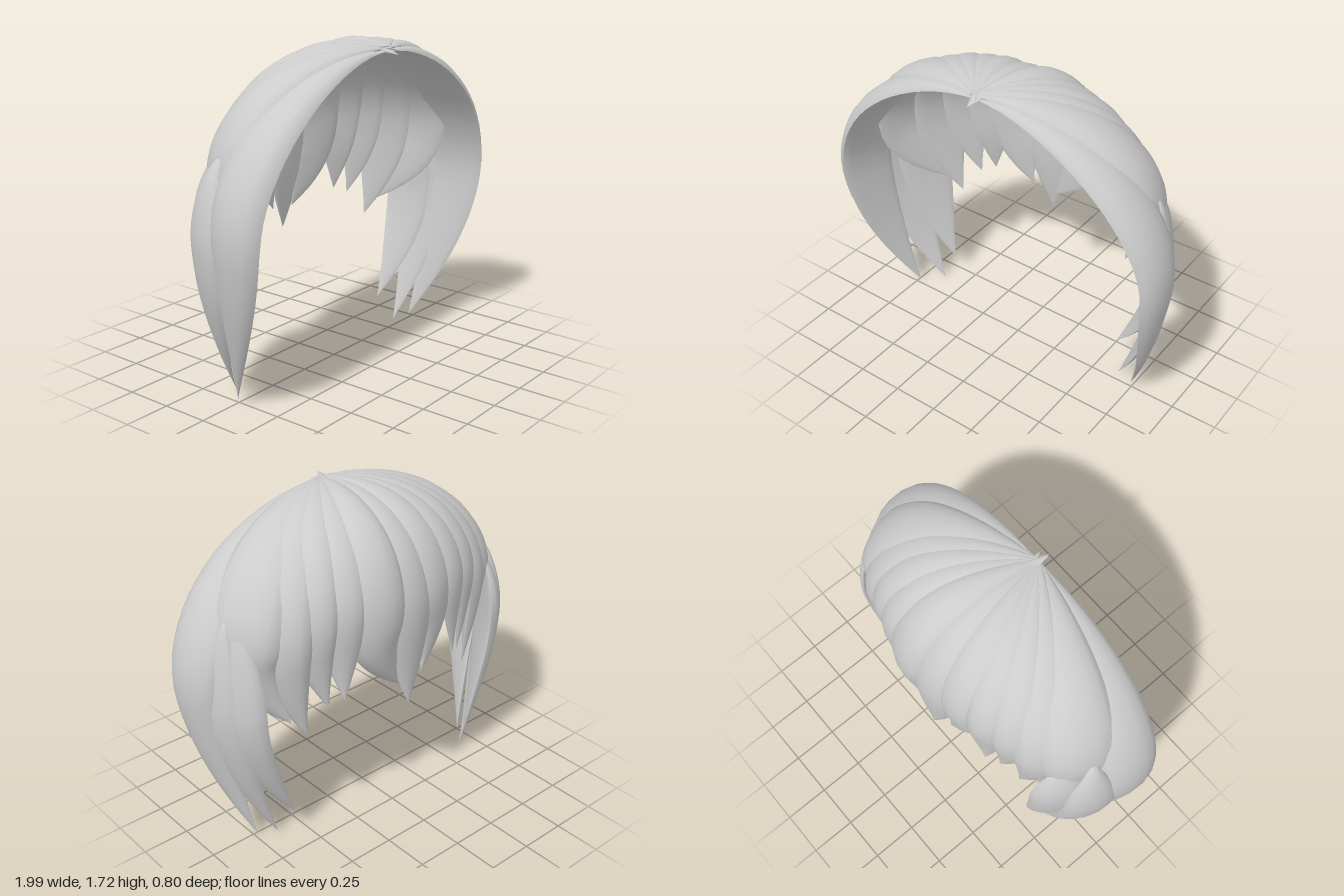
import * as THREE from 'three';
import { toCreasedNormals } from 'three/addons/utils/BufferGeometryUtils.js';

const material = new THREE.MeshStandardMaterial({ color: 0xcccccc, side: THREE.DoubleSide });
const CROWN = [0, 1.71, 0.335];
const V = (a) => new THREE.Vector3(...a);

// Centre line: a rounded arc from root to the widest point, then a sweep in to the tip.
function lockPath(root, mid, tip, e) {
  const [r, m, t] = [V(root), V(mid), V(tip)];
  const pts = [];
  for (let i = 0; i <= 8; i++) {
    const a = (i / 8) * Math.PI / 2;
    const h = Math.pow(Math.sin(a), e);
    const v = i === 8 ? 0 : Math.pow(Math.cos(a), e);
    pts.push(new THREE.Vector3(
      r.x + (m.x - r.x) * h, m.y + (r.y - m.y) * v, r.z + (m.z - r.z) * h));
  }
  for (let i = 1; i <= 5; i++) {
    const s = i / 5, h = Math.pow(s, 1.6);
    pts.push(new THREE.Vector3(
      m.x + (t.x - m.x) * h, m.y + (t.y - m.y) * s, m.z + (t.z - m.z) * h));
  }
  return new THREE.CatmullRomCurve3(pts, false, 'centripetal');
}

// A pointed lock: a domed lens section swept along the path, facing away from the head.
function lock(name, { root = CROWN, mid, tip, w, peak = 0.62, e = 0.85, bulge = 0.62 }) {
  const path = lockPath(root, mid, tip, e);
  const rows = 30, cols = 16, pos = [], idx = [];
  for (let i = 0; i <= rows; i++) {
    const u = i / rows;
    const p = path.getPointAt(u), t = path.getTangentAt(u);
    const out = p.clone().sub(new THREE.Vector3(0, Math.min(p.y, 0.9), 0.3));
    out.addScaledVector(t, -out.dot(t)).normalize();
    const side = t.clone().cross(out);
    const k = u < peak
      ? Math.sin(Math.PI / 2 * u / peak)
      : Math.cos(Math.PI / 2 * (u - peak) / (1 - peak));
    const half = Math.max(w * k, 0.001);
    for (let j = 0; j < cols; j++) {
      const a = (j / cols) * Math.PI * 2, s = Math.sin(a);
      const q = p.clone()
        .addScaledVector(side, Math.cos(a) * half)
        .addScaledVector(out, s * half * (s > 0 ? bulge : 0.1));
      pos.push(q.x, q.y, q.z);
    }
  }
  for (let i = 0; i < rows; i++) {
    for (let j = 0; j < cols; j++) {
      const a = i * cols + j, b = i * cols + (j + 1) % cols;
      idx.push(a, a + cols, b, b, a + cols, b + cols);
    }
  }
  const geo = new THREE.BufferGeometry();
  geo.setAttribute('position', new THREE.Float32BufferAttribute(pos, 3));
  geo.setIndex(idx);
  const mesh = new THREE.Mesh(toCreasedNormals(geo, 0.9), material);
  mesh.name = name;
  return mesh;
}

export function createModel() {
  const group = new THREE.Group();
  group.name = 'hair';
  const add = (name, spec) => group.add(lock(name, spec));

  // Locks found on both sides, from the face towards the back
  const pairs = [
    ['FrontLock', { root: [0, 1.685, 0.335], mid: [0.905, 0.9, 0.16], tip: [0.735, 0.02, -0.02], w: 0.172, peak: 0.48, e: 1.09, bulge: 0.55 }],
    ['SideLock', { root: [0, 1.7, 0.335], mid: [0.745, 1.1, -0.03], tip: [0.61, 0.73, -0.18], w: 0.195, e: 1.02, bulge: 0.5 }],
    ['RearSideLock', { mid: [0.62, 1.1, -0.145], tip: [0.54, 0.65, -0.21], w: 0.15, e: 0.95, bulge: 0.58 }],
    ['OuterBackLock', { mid: [0.49, 1.13, -0.21], tip: [0.44, 0.79, -0.26], w: 0.13, e: 0.88 }],
    ['BackLock', { mid: [0.36, 1.13, -0.26], tip: [0.37, 0.82, -0.3], w: 0.13 }],
  ];
  for (const [label, sx] of [['left', 1], ['right', -1]]) {
    for (const [name, s] of pairs) {
      const flip = ([x, y, z]) => [x * sx, y, z];
      add(label + name, { ...s, mid: flip(s.mid), tip: flip(s.tip) });
    }
  }

  // Middle of the back
  add('centreBackLock', { mid: [-0.02, 1.08, -0.305], tip: [-0.01, 0.67, -0.35], w: 0.15, e: 0.8 });
  add('leftCentreBackLock', { mid: [0.18, 1.12, -0.295], tip: [0.03, 0.79, -0.32], w: 0.165, e: 0.8 });
  add('rightCentreBackLock', { mid: [-0.21, 1.12, -0.275], tip: [-0.12, 0.8, -0.32], w: 0.155, e: 0.82 });

  // Long lower locks behind the ears, slightly different on each side
  add('leftLowerLock', { root: [0.8, 1.3, 0.04], mid: [0.865, 0.8, 0], tip: [0.635, 0.01, -0.06], w: 0.115, peak: 0.4, bulge: 0.5 });
  add('leftRearLowerLock', { root: [0.78, 1.3, 0], mid: [0.815, 0.78, -0.085], tip: [0.57, 0.15, -0.13], w: 0.125, peak: 0.42, bulge: 0.45 });
  add('rightLowerLock', { root: [-0.79, 1.26, 0], mid: [-0.875, 0.85, -0.045], tip: [-0.635, 0.01, -0.13], w: 0.145, peak: 0.34, bulge: 0.5 });
  add('rightRearLowerLock', { root: [-0.7, 1.25, -0.09], mid: [-0.76, 0.88, -0.145], tip: [-0.6, 0.15, -0.19], w: 0.155, peak: 0.32, bulge: 0.5 });

  // Small flat points where the locks meet at the parting
  for (const [x, y, z] of [[0, 1.67, 0.4], [-0.02, 1.715, 0.37], [0.03, 1.69, 0.37]]) {
    const tuft = new THREE.Mesh(new THREE.ConeGeometry(0.025, 0.09, 8), material);
    const tip = new THREE.Vector3(x, y, z);
    const dir = tip.clone().sub(new THREE.Vector3(0, 1.7, 0.25)).normalize();
    tuft.quaternion.setFromUnitVectors(new THREE.Vector3(0, 1, 0), dir);
    tuft.scale.set(1.5, 1, 0.5);
    tuft.position.copy(tip).addScaledVector(dir, -0.045);
    tuft.name = 'partingTuft';
    group.add(tuft);
  }
  return group;
}
